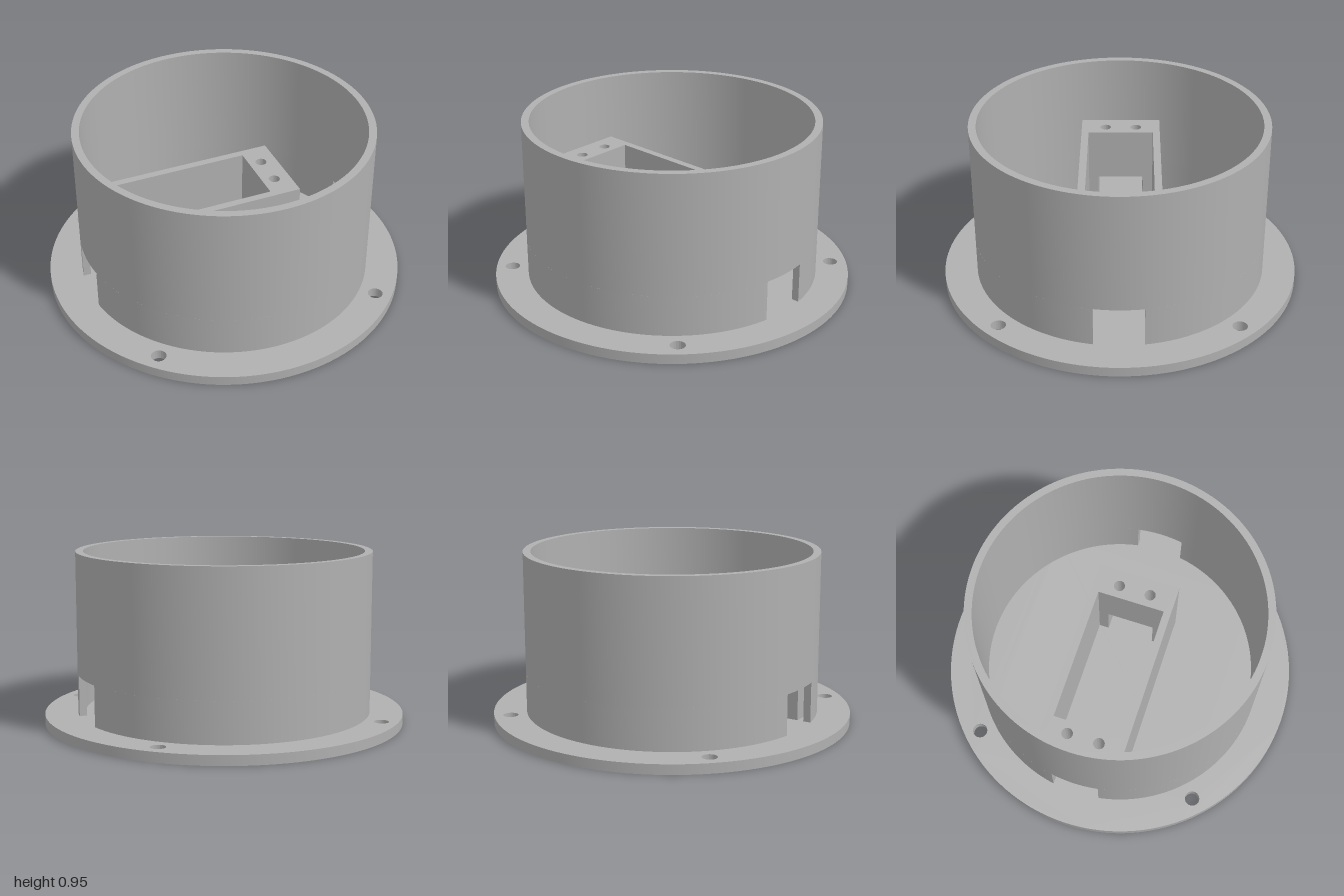
import * as THREE from 'three';
import { toCreasedNormals } from 'three/addons/utils/BufferGeometryUtils.js';

const FLOOR = 0.055, SLOT_TOP = 0.28, RIM = 0.953, CRADLE_TOP = 0.58;
const R_OUT = 0.817, R_IN = 0.775, SLOT = 0.135;

const circle = (x, y, r) => new THREE.Path().absarc(x, y, r, 0, Math.PI * 2, true);
const polygon = (pts) => new THREE.Shape(pts.map(([x, y]) => new THREE.Vector2(x, y)));
const disc = (r) => new THREE.Shape().absarc(0, 0, r, 0, Math.PI * 2, false);

export function createModel() {
  const model = new THREE.Group();
  const grey = new THREE.MeshStandardMaterial({ color: 0xb0b0b0 });
  grey.name = 'plain grey';

  // Raises a plan outline from height y0 to y1
  function raise(name, shape, y0, y1) {
    const geo = new THREE.ExtrudeGeometry(shape, { depth: y1 - y0, bevelEnabled: false, curveSegments: 64 });
    geo.rotateX(-Math.PI / 2);
    geo.translate(0, y0, 0);
    const mesh = new THREE.Mesh(toCreasedNormals(geo, 0.5), grey);
    mesh.name = name;
    model.add(mesh);
  }

  // Round base flange with four screw holes
  const flange = disc(1);
  for (const x of [-0.643, 0.643])
    for (const z of [-0.643, 0.643]) flange.holes.push(circle(x, z, 0.041));
  raise('baseFlange', flange, 0, FLOOR);

  // Cylinder wall: full ring above the cable slots
  const ring = disc(R_OUT);
  ring.holes.push(circle(0, 0, R_IN));
  raise('upperWall', ring, SLOT_TOP, RIM);

  // Two wall arcs below, leaving straight-sided slots at both x ends
  const aOut = Math.asin(SLOT / R_OUT), aIn = Math.asin(SLOT / R_IN);
  for (const turn of [0, Math.PI]) {
    const arc = new THREE.Shape();
    arc.absarc(0, 0, R_OUT, turn + aOut, turn + Math.PI - aOut, false);
    arc.absarc(0, 0, R_IN, turn + Math.PI - aIn, turn + aIn, true);
    arc.closePath();
    raise(turn ? 'frontLowerWall' : 'backLowerWall', arc, FLOOR, SLOT_TOP);
  }

  // Rectangular cradle with an open pocket and screw holes
  const x0 = -0.727, x1 = 0.355, p0 = -0.564, p1 = 0.195, zOut = 0.233, zIn = 0.191;
  const cradle = polygon([[x0, -zOut], [x1, -zOut], [x1, zOut], [x0, zOut]]);
  cradle.holes.push(polygon([[p0, -zIn], [p0, zIn], [p1, zIn], [p1, -zIn]]));
  for (const x of [-0.634, 0.265])
    for (const z of [-0.09, 0.09]) cradle.holes.push(circle(x, z, 0.031));
  raise('cradleTop', cradle, SLOT_TOP, CRADLE_TOP);

  // Cradle sides below, split by the tunnel that lines up with the wall slots
  for (const s of [-1, 1]) {
    const side = [[x0, SLOT], [p0, SLOT], [p0, zIn], [p1, zIn], [p1, SLOT], [x1, SLOT], [x1, zOut], [x0, zOut]];
    raise(s < 0 ? 'cradleFrontSide' : 'cradleBackSide', polygon(side.map(([x, z]) => [x, s * z])), FLOOR, SLOT_TOP);
  }

  return model;
}
